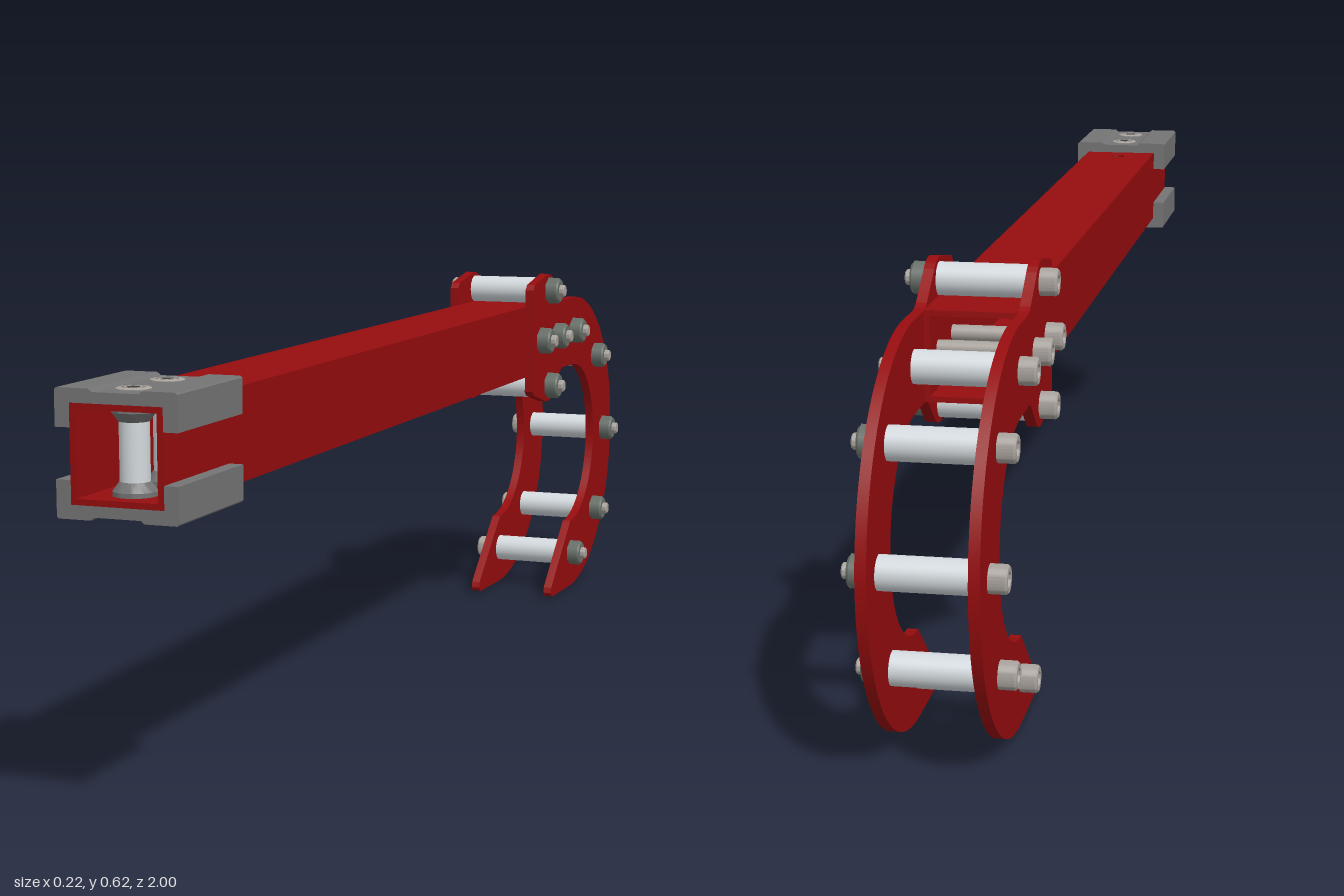
import * as THREE from 'three';
import { toCreasedNormals } from 'three/addons/utils/BufferGeometryUtils.js';

const mat = (color) => new THREE.MeshStandardMaterial({ color });
const RED = mat(0x960c0e), PAD = mat(0x747474), SPACER = mat(0xd2d8dc);
const BOLT = mat(0xa8a29c), NUT = mat(0x687069), DARK = mat(0x3c3c3c);

const CX = -0.0045, CY = 0.4975;   // tube centre line
const HALF = 0.064, WALL = 0.008;  // tube half width and wall
const PLATE = 0.015;               // hook plate thickness

function add(parent, name, geo, material, x = 0, y = 0, z = 0) {
  const mesh = new THREE.Mesh(geo, material);
  mesh.name = name;
  mesh.position.set(x, y, z);
  parent.add(mesh);
  return mesh;
}

const extrude = (shape, depth) => toCreasedNormals(
  new THREE.ExtrudeGeometry(shape, { depth, bevelEnabled: false, curveSegments: 40 }), 0.5);

const lathe = (pts, sides = 28) => toCreasedNormals(
  new THREE.LatheGeometry(pts.map(([r, y]) => new THREE.Vector2(r, y)), sides), 0.5);

const polygon = (pts) => new THREE.Shape(pts.map(([x, y]) => new THREE.Vector2(x, y)));

// Square tube: two plain sides, top and bottom pierced by a pin hole
function buildTube() {
  const g = new THREE.Group();
  g.name = 'tube';
  const front = 1, back = -0.66, len = front - back;
  const wall = polygon([[-HALF, -front], [HALF, -front], [HALF, -back], [-HALF, -back]]);
  wall.holes.push(new THREE.Path().absarc(0, -0.76, 0.013, 0, Math.PI * 2, true));
  const flat = extrude(wall, WALL).rotateX(-Math.PI / 2);
  add(g, 'tubeTop', flat, RED, CX, CY + HALF - WALL);
  add(g, 'tubeBottom', flat, RED, CX, CY - HALF);
  const side = new THREE.BoxGeometry(WALL, 2 * (HALF - WALL), len);
  for (const s of [-1, 1])
    add(g, 'tubeSide', side, RED, CX + s * (HALF - WALL / 2), CY, (front + back) / 2);
  return g;
}

// Hook plate outline, drawn with x pointing backwards and turned upright
function hookPlateGeometry() {
  const s = new THREE.Shape();
  s.moveTo(0.467, 0.408);
  s.lineTo(0.475, 0.4);
  s.lineTo(0.55, 0.381);
  s.quadraticCurveTo(0.575, 0.378, 0.595, 0.39);
  s.lineTo(0.64, 0.428);
  s.quadraticCurveTo(0.65, 0.434, 0.665, 0.433);
  s.lineTo(0.72, 0.432);
  s.absarc(0.72, 0.28, 0.152, Math.PI / 2, -Math.PI / 2, true);
  s.lineTo(0.6, 0.023);
  s.quadraticCurveTo(0.588, 0.004, 0.606, 0.002);
  s.lineTo(0.72, 0);
  s.absarc(0.72, 0.28, 0.28, -Math.PI / 2, Math.PI / 2, false);
  s.lineTo(0.665, 0.56);
  s.quadraticCurveTo(0.65, 0.56, 0.64, 0.567);
  s.lineTo(0.595, 0.6);
  s.quadraticCurveTo(0.575, 0.618, 0.55, 0.615);
  s.lineTo(0.475, 0.601);
  s.lineTo(0.467, 0.592);
  s.closePath();
  return extrude(s, PLATE).rotateY(Math.PI / 2);
}

// Cross bolts: socket head on the right, nut and stud on the left
function buildBolts() {
  const g = new THREE.Group();
  g.name = 'crossBolts';
  const inner = HALF + PLATE;
  const head = lathe([[0.0195, 0], [0.0195, 0.022], [0.017, 0.025], [0.0105, 0.025],
    [0.0105, 0.012], [0, 0.012]]).rotateZ(Math.PI / 2);
  const nut = new THREE.CylinderGeometry(0.0235, 0.0235, 0.02, 6, 1, false, Math.PI / 6)
    .toNonIndexed().rotateZ(-Math.PI / 2);
  const collar = new THREE.CylinderGeometry(0.0195, 0.022, 0.003, 24).rotateZ(-Math.PI / 2);
  const stud = lathe([[0.011, 0], [0.011, 0.03], [0.009, 0.032], [0, 0.032]]).rotateZ(-Math.PI / 2);
  const spacer = new THREE.CylinderGeometry(0.0235, 0.0235, 2 * HALF, 28).rotateZ(Math.PI / 2);
  const shank = new THREE.CylinderGeometry(0.0115, 0.0115, 2 * HALF, 24).rotateZ(Math.PI / 2);

  const spots = [[0.585, -0.56, true], [0.41, -0.56, true], [CY, -0.512, false], [CY, -0.608, false]];
  for (let i = -2; i <= 2; i++) {
    const a = i * Math.PI / 4;
    spots.push([0.282 + 0.2155 * Math.sin(a), -0.72 - 0.2155 * Math.cos(a), true]);
  }
  for (const [y, z, spaced] of spots) {
    const bolt = new THREE.Group();
    bolt.name = 'crossBolt';
    bolt.position.set(CX, y, z);
    add(bolt, 'boltHead', head, BOLT, -inner);
    add(bolt, 'nut', nut, NUT, inner + 0.01);
    add(bolt, 'nutCollar', collar, NUT, inner + 0.0215);
    add(bolt, 'boltEnd', stud, BOLT, inner);
    add(bolt, spaced ? 'spacer' : 'boltShank', spaced ? spacer : shank, spaced ? SPACER : BOLT);
    g.add(bolt);
  }
  return g;
}

// Channel pad over one face of the tube, with two flush socket screws
function buildPad(name, turn) {
  const g = new THREE.Group();
  g.name = name;
  g.position.set(CX, CY, 0);
  g.rotation.z = turn;
  const half = [[0.0645, 0.0635], [0.0645, 0.033], [0.0845, 0.033], [0.0845, 0.08],
    [0.082, 0.0825], [0.037, 0.0825], [0.032, 0.0785]];
  const mirrored = half.map(([x, y]) => [-x, y]).reverse();
  add(g, 'padChannel', extrude(polygon([...half, ...mirrored]), 0.19), PAD, 0, 0, 0.81);

  const screw = lathe([[0.023, 0], [0.023, 0.001], [0.021, 0.002], [0, 0.002]]);
  const ring = new THREE.RingGeometry(0.0125, 0.015, 28).rotateX(-Math.PI / 2);
  const socket = new THREE.CircleGeometry(0.0095, 6).rotateX(-Math.PI / 2);
  const flare = lathe([[0.018, 0], [0.02, 0], [0.029, 0.012], [0.029, 0.018], [0, 0.018]]);
  for (const z of [0.855, 0.95]) {
    add(g, 'padScrew', screw, BOLT, 0, 0.0785, z);
    add(g, 'screwRing', ring, PAD, 0, 0.0808, z);
    add(g, 'screwSocket', socket, DARK, 0, 0.0808, z);
    add(g, 'postFlare', flare, PAD, 0, 0.038, z);
  }
  return g;
}

export function createModel() {
  const model = new THREE.Group();
  model.name = 'hookArm';
  model.add(buildTube());

  const plate = hookPlateGeometry();
  add(model, 'rightHookPlate', plate, RED, CX - HALF - PLATE);
  add(model, 'leftHookPlate', plate, RED, CX + HALF);
  model.add(buildBolts());

  model.add(buildPad('topPad', 0), buildPad('bottomPad', Math.PI));

  // Posts standing inside the tube between the two pads
  const post = new THREE.CylinderGeometry(0.0195, 0.0195, 2 * (HALF - WALL), 28);
  for (const z of [0.855, 0.95]) add(model, 'innerPost', post, SPACER, CX, CY, z);
  return model;
}
